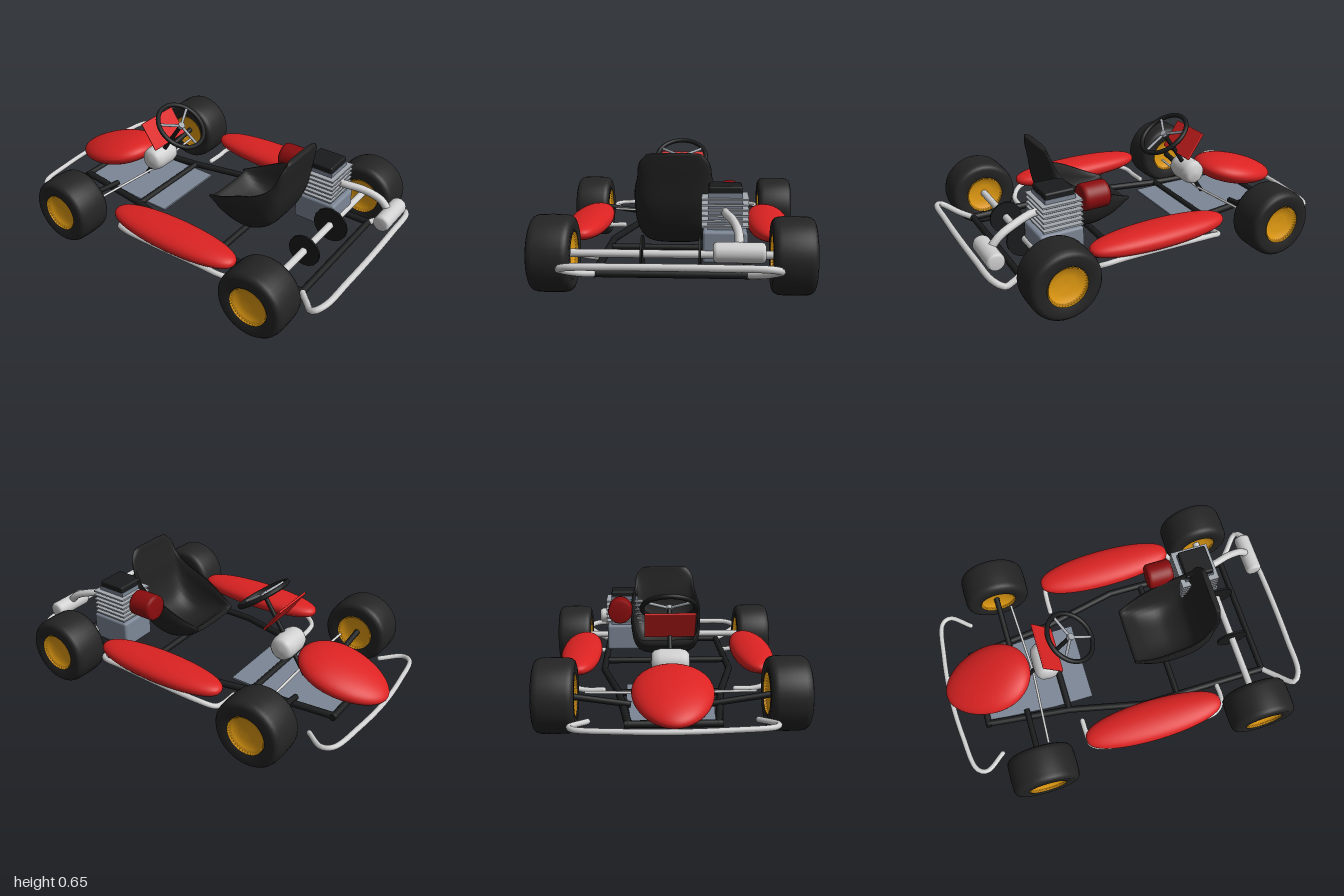
import * as THREE from 'three';
import { RoundedBoxGeometry } from 'three/addons/geometries/RoundedBoxGeometry.js';

const mat = (name, color, extra = {}) => Object.assign(new THREE.MeshStandardMaterial({ color, ...extra }), { name });
const V = (x, y, z) => new THREE.Vector3(x, y, z);

export function createModel() {
  const kart = new THREE.Group();
  kart.name = 'goKart';
  const rubber = mat('rubber black', 0x242424);
  const black = mat('frame black', 0x1a1b1c);
  const silver = mat('silver', 0xd0d0d0);
  const red = mat('body red', 0xdc2222);
  const darkRed = mat('filter red', 0x8c0c0e);
  const gold = mat('wheel gold', 0xe39c12);
  const slate = mat('slate grey', 0x7d8796);
  const finGrey = mat('fin grey', 0xa4a9b0);

  const add = (name, geo, material, x = 0, y = 0, z = 0, parent = kart) => {
    const m = new THREE.Mesh(geo, material);
    m.name = name;
    m.position.set(x, y, z);
    parent.add(m);
    return m;
  };
  // Straight round bar between two points
  const bar = (name, a, b, r, material, parent = kart) => {
    const d = b.clone().sub(a);
    const m = add(name, new THREE.CylinderGeometry(r, r, d.length(), 16), material, 0, 0, 0, parent);
    m.position.copy(a).addScaledVector(d, 0.5);
    m.quaternion.setFromUnitVectors(V(0, 1, 0), d.normalize());
    return m;
  };
  // Bent tube with closed ends
  const tube = (name, pts, r, material) => {
    const v = pts.map(p => V(...p));
    add(name, new THREE.TubeGeometry(new THREE.CatmullRomCurve3(v, false, 'centripetal'), 64, r, 12), material);
    [v[0], v[v.length - 1]].forEach(p => add(name + 'End', new THREE.SphereGeometry(r, 12, 8), material, p.x, p.y, p.z));
  };
  // Bumper mirrored about x = 0 from points running from the right end to the middle
  const bumper = (name, half, r) => tube(name,
    [...half.map(([x, y, z]) => [-x, y, z]), ...half.slice(0, -1).reverse()], r, silver);
  const lathe = (pts, seg = 40) =>
    new THREE.LatheGeometry(pts.map(p => new THREE.Vector2(...p)), seg).rotateZ(-Math.PI / 2);

  // Wheels
  const tyre = lathe([[0.1, -0.085], [0.108, -0.1], [0.155, -0.102], [0.17, -0.096], [0.18, -0.084], [0.185, -0.065],
    [0.187, 0], [0.185, 0.065], [0.18, 0.084], [0.17, 0.096], [0.155, 0.102], [0.108, 0.1], [0.1, 0.085]]);
  const hub = lathe([[0, -0.07], [0.05, -0.072], [0.09, -0.08], [0.103, -0.098],
    [0.103, 0.098], [0.09, 0.08], [0.05, 0.072], [0, 0.07]]);
  for (const s of [1, -1]) {
    for (const [end, z] of [['rear', 0.675], ['front', -0.577]]) {
      add(end + 'Tyre', tyre, rubber, s * 0.568, 0.188, z);
      add(end + 'Hub', hub, gold, s * 0.568, 0.188, z);
    }
  }

  // Chassis rails and cross members
  for (const s of [1, -1]) {
    const rail = [[0.355, 0.79], [0.36, 0.08], [0.265, -0.35], [0.21, -0.81]].map(([x, z]) => V(s * x, 0.122, z));
    rail.forEach((p, i) => {
      if (i < 3) bar('rail', p, rail[i + 1], 0.019, black);
      add('railJoint', new THREE.SphereGeometry(0.019, 12, 8), black, p.x, p.y, p.z);
    });
    bar('frontSpindle', V(s * 0.2, 0.14, -0.583), V(s * 0.5, 0.185, -0.583), 0.016, black);
    bar('tieRod', V(0, 0.165, -0.49), V(s * 0.43, 0.18, -0.512), 0.007, silver);
  }
  for (const [x, z] of [[0.355, 0.79], [0.36, 0.27], [0.265, -0.35], [0.23, -0.81]])
    bar('crossMember', V(-x, 0.122, z), V(x, 0.122, z), 0.018, black);

  // Floor pan
  const pan = new THREE.Shape([[-0.225, 0.2], [0.225, 0.2], [0.225, 0.42], [0.195, 0.81], [-0.195, 0.81], [-0.225, 0.42]]
    .map(p => new THREE.Vector2(...p)));
  add('floorPan', new THREE.ExtrudeGeometry(pan, { depth: 0.01, bevelEnabled: false }).rotateX(-Math.PI / 2), slate, 0, 0.112, 0);

  // Rear axle with brake disc and sprocket
  bar('rearAxle', V(-0.5, 0.188, 0.672), V(0.5, 0.188, 0.672), 0.02, silver);
  bar('brakeDisc', V(-0.149, 0.188, 0.672), V(-0.139, 0.188, 0.672), 0.09, black);
  bar('sprocket', V(0.125, 0.188, 0.672), V(0.136, 0.188, 0.672), 0.1, black);

  // Bumpers and side bars
  bumper('rearBumper', [[0.355, 0.122, 0.79], [0.42, 0.14, 0.85], [0.495, 0.178, 0.925], [0.45, 0.197, 0.962],
    [0.25, 0.203, 0.973], [0, 0.205, 0.977]], 0.017);
  bumper('frontBumper', [[0.4, 0.125, -0.775], [0.475, 0.14, -0.88], [0.45, 0.145, -0.93],
    [0.25, 0.147, -0.965], [0, 0.147, -0.98]], 0.014);
  for (const s of [1, -1])
    tube('sideBar', [[0.36, 0.122, 0.505], [0.46, 0.135, 0.5], [0.53, 0.165, 0.44], [0.55, 0.18, 0.3], [0.56, 0.18, 0],
      [0.545, 0.165, -0.2], [0.5, 0.135, -0.285], [0.44, 0.122, -0.295], [0.35, 0.122, -0.297]]
      .map(([x, y, z]) => [s * x, y, z]), 0.015, silver);

  // Side pods: blunt ellipsoids lying along z
  const pow = (v, e) => Math.sign(v) * Math.abs(v) ** e;
  const podGeo = new THREE.SphereGeometry(1, 40, 28).rotateX(Math.PI / 2);
  const pp = podGeo.attributes.position;
  for (let i = 0; i < pp.count; i++) {
    const z = pp.getZ(i), r = Math.sqrt(Math.max(0, 1 - z * z)), k = r > 1e-4 ? r ** 0.8 / r : 0;
    pp.setXYZ(i, pp.getX(i) * k * 0.113, pow(pp.getY(i) * k, 0.9) * 0.06, z * 0.39);
  }
  podGeo.computeVertexNormals();
  for (const s of [1, -1]) add('sidePod', podGeo, red, s * 0.485, 0.228, 0.082);

  // Nose cone: egg sloping down to the tip
  const noseGeo = new THREE.SphereGeometry(1, 40, 28).rotateX(Math.PI / 2);
  const np = noseGeo.attributes.position;
  for (let i = 0; i < np.count; i++) {
    const z = np.getZ(i), k = 1 + 0.12 * z;
    np.setXYZ(i, np.getX(i) * 0.195 * k, np.getY(i) * 0.078 * k, z * 0.255);
  }
  noseGeo.computeVertexNormals();
  add('noseCone', noseGeo, red, 0, 0.24, -0.747).rotation.x = -0.24;

  // Fuel tank
  add('fuelTank', lathe([[0, -0.1], [0.045, -0.096], [0.062, -0.08], [0.07, -0.05], [0.07, 0.05], [0.062, 0.08],
    [0.045, 0.096], [0, 0.1]]), silver, 0, 0.302, -0.41);

  // Steering
  bar('steeringColumn', V(0, 0.545, -0.25), V(0, 0.14, -0.52), 0.012, black);
  const steering = new THREE.Group();
  steering.name = 'steeringWheel';
  steering.position.set(0, 0.55, -0.245);
  steering.rotation.x = -0.95;
  kart.add(steering);
  add('steeringRim', new THREE.TorusGeometry(0.142, 0.013, 12, 48), black, 0, 0, 0, steering);
  add('steeringHub', new THREE.CylinderGeometry(0.02, 0.02, 0.02, 20).rotateX(Math.PI / 2), finGrey, 0, 0, 0, steering);
  for (const a of [30, 150, 270].map(THREE.MathUtils.degToRad))
    bar('steeringSpoke', V(0, 0, 0), V(0.14 * Math.cos(a), 0.14 * Math.sin(a), 0), 0.008, finGrey, steering);
  add('frontPanel', new RoundedBoxGeometry(0.26, 0.17, 0.012, 2, 0.005), red, 0, 0.488, -0.378).rotation.x = -0.6;

  // Seat shell: closed cross-sections; rows are [half width, centre y, centre z, rim y, rim z]
  const rows = [[0.165, 0.27, 0.075, 0.3, 0.075], [0.195, 0.2, 0.17, 0.345, 0.18], [0.208, 0.165, 0.32, 0.4, 0.29],
    [0.21, 0.23, 0.45, 0.435, 0.38], [0.2, 0.36, 0.51, 0.48, 0.45], [0.185, 0.5, 0.53, 0.53, 0.49],
    [0.172, 0.6, 0.543, 0.605, 0.52], [0.135, 0.65, 0.548, 0.648, 0.535]];
  const mid = new THREE.CatmullRomCurve3(rows.map(r => V(r[0], r[1], r[2])));
  const rim = new THREE.CatmullRomCurve3(rows.map(r => V(0, r[3], r[4])));
  const NV = 36, NU = 20, ring = 2 * (NU + 1), pos = [], idx = [], thick = 0.028;
  for (let j = 0; j <= NV; j++) {
    const t = j / NV, c = mid.getPoint(t), e = rim.getPoint(t), g = mid.getTangent(t);
    const n = V(0, g.z, -g.y).normalize();
    for (let i = 0; i < ring; i++) {
      const inner = i > NU, u = inner ? 1 - 2 * (i - NU - 1) / NU : -1 + 2 * i / NU;
      const b = Math.abs(u) ** 3.5, x = c.x * Math.sin(u * Math.PI / 2) * (inner ? 0.93 : 1);
      const k = inner ? thick * (1 - b) : 0;
      pos.push(x, c.y + (e.y - c.y) * b + n.y * k, c.z + (e.z - c.z) * b + n.z * k);
      if (j < NV) {
        const a = j * ring + i, d = j * ring + (i + 1) % ring;
        idx.push(a, d, a + ring, d, d + ring, a + ring);
      }
    }
  }
  for (const o of [0, NV * ring]) for (let i = 0; i < NU; i++) {
    const a = o + i, b = o + i + 1, c = o + ring - 1 - i, d = c - 1;
    if (o) idx.push(a, b, c, b, d, c); else idx.push(a, c, b, b, c, d);
  }
  const seatGeo = new THREE.BufferGeometry();
  seatGeo.setAttribute('position', new THREE.Float32BufferAttribute(pos, 3));
  seatGeo.setIndex(idx);
  seatGeo.computeVertexNormals();
  add('seat', seatGeo, mat('seat black', 0x222222, { side: THREE.DoubleSide }));

  // Engine: crankcase, finned cylinder and head
  add('crankcase', new RoundedBoxGeometry(0.215, 0.155, 0.24, 2, 0.015), slate, 0.248, 0.222, 0.557);
  add('cylinderBlock', new THREE.BoxGeometry(0.165, 0.18, 0.165), slate, 0.248, 0.385, 0.55);
  for (let i = 0; i < 6; i++)
    add('coolingFin', new THREE.BoxGeometry(0.225, 0.009, 0.215), finGrey, 0.248, 0.318 + i * 0.026, 0.55);
  add('cylinderHead', new RoundedBoxGeometry(0.162, 0.042, 0.16, 2, 0.01), black, 0.248, 0.487, 0.55);

  // Air filter
  add('airFilter', lathe([[0, -0.073], [0.06, -0.073], [0.07, -0.065], [0.072, -0.05], [0.072, 0.05], [0.07, 0.065],
    [0.06, 0.073], [0, 0.073]], 32).rotateY(Math.PI / 2), darkRed, 0.272, 0.418, 0.345);

  // Exhaust pipe and muffler
  tube('exhaustPipe', [[0.248, 0.385, 0.63], [0.255, 0.385, 0.68], [0.285, 0.37, 0.77], [0.305, 0.335, 0.86],
    [0.308, 0.28, 0.915]], 0.021, silver);
  add('muffler', lathe([[0, -0.116], [0.032, -0.116], [0.042, -0.11], [0.046, -0.098], [0.046, 0.098], [0.042, 0.11],
    [0.032, 0.116], [0, 0.116]], 32), silver, 0.308, 0.262, 0.924);

  return kart;
}
